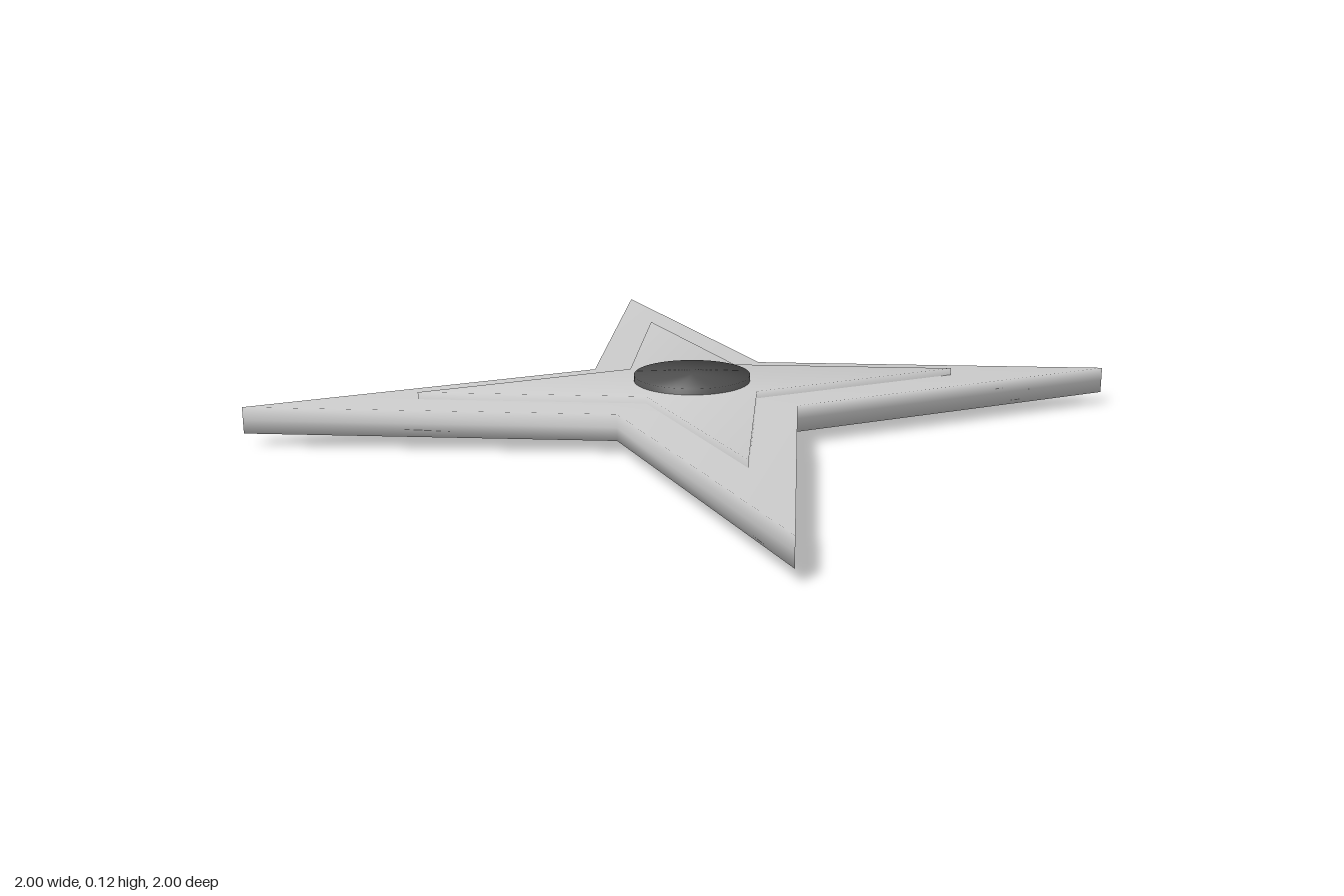
import * as THREE from 'three';
import { mergeVertices } from 'three/addons/utils/BufferGeometryUtils.js';

const MID = 0.06; // height of the middle plane

// Share vertices so that the shading rolls softly over the edges
function soften(geometry) {
  geometry.deleteAttribute('uv');
  geometry.deleteAttribute('normal');
  const merged = mergeVertices(geometry, 1e-4);
  merged.computeVertexNormals();
  return merged;
}

// Four-pointed star plate, centred on the middle plane
function starPlate(tip, valley, thickness) {
  const points = [];
  for (let i = 0; i < 4; i++) {
    const a = (i * Math.PI) / 2;
    points.push(new THREE.Vector2(Math.cos(a) * tip, Math.sin(a) * tip));
    const b = a + Math.PI / 4, r = valley * Math.SQRT2;
    points.push(new THREE.Vector2(Math.cos(b) * r, Math.sin(b) * r));
  }
  const geometry = new THREE.ExtrudeGeometry(new THREE.Shape(points), {
    depth: thickness, steps: 2, bevelEnabled: false,
  });
  geometry.translate(0, 0, -thickness / 2);
  geometry.rotateX(-Math.PI / 2);
  return soften(geometry);
}

export function createModel() {
  const group = new THREE.Group();
  const steel = new THREE.MeshStandardMaterial({ color: 0xcccccc });
  const dark = new THREE.MeshStandardMaterial({ color: 0x505050 });

  const add = (name, geometry, material) => {
    const mesh = new THREE.Mesh(geometry, material);
    mesh.name = name;
    mesh.position.y = MID;
    group.add(mesh);
  };

  // Thin blades, thicker raised star and the round hub through both
  add('blades', starPlate(1, 0.2, 0.06), steel);
  add('raisedStar', starPlate(0.62, 0.125, 0.092), steel);
  add('hub', soften(new THREE.CylinderGeometry(0.133, 0.133, 0.12, 48)), dark);

  return group;
}
